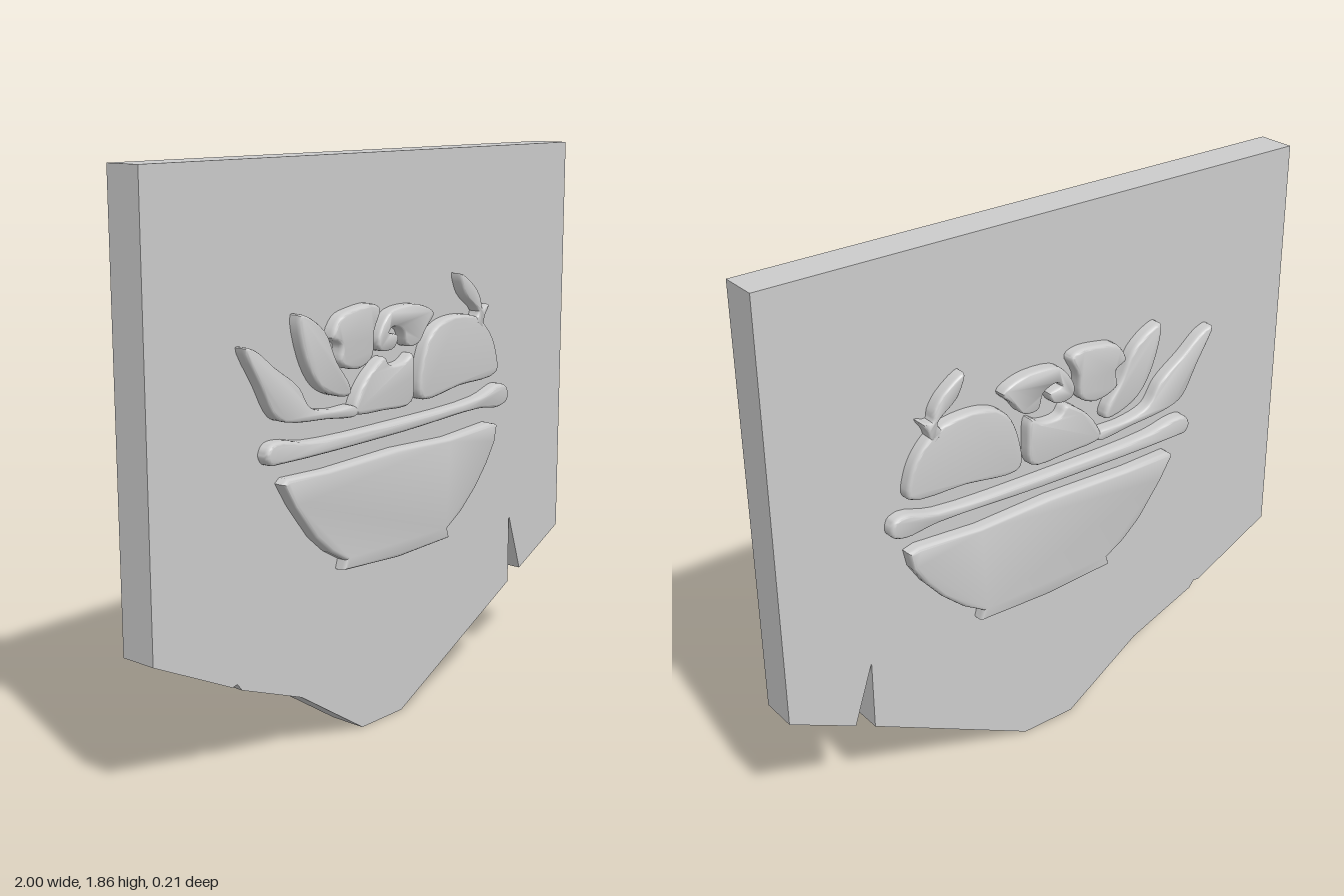
import * as THREE from 'three';
import { toCreasedNormals } from 'three/addons/utils/BufferGeometryUtils.js';

const SLAB_HALF = 0.063;
const RELIEF_HALF = 0.105;

const grey = new THREE.MeshStandardMaterial({ color: 0xcccccc });
const toPoints = (list) => list.map(([x, y]) => new THREE.Vector2(x, y));

// Rounds an outline with a closed curve through its points
function softOutline(list) {
  const curve = new THREE.CatmullRomCurve3(
    list.map(([x, y]) => new THREE.Vector3(x, y, 0)), true, 'centripetal');
  return curve.getPoints(list.length * 4).slice(0, -1).map((p) => new THREE.Vector2(p.x, p.y));
}

// Raised shape that stands out equally from both faces of the slab
function relief(name, list, soft = true, bevel = 0.01) {
  const shape = new THREE.Shape(soft ? softOutline(list) : toPoints(list));
  const thick = 0.016;
  const geometry = new THREE.ExtrudeGeometry(shape, {
    depth: 2 * (RELIEF_HALF - thick),
    bevelEnabled: true,
    bevelThickness: thick,
    bevelSize: bevel,
    bevelOffset: -bevel,
    bevelSegments: 3,
  });
  geometry.translate(0, 0, -(RELIEF_HALF - thick));
  const mesh = new THREE.Mesh(toCreasedNormals(geometry, 0.8), grey);
  mesh.name = name;
  return mesh;
}

export function createModel() {
  const model = new THREE.Group();
  model.name = 'bannerPlaque';

  // Banner slab with a pointed, notched lower edge
  const outline = [
    [-1, 1.86], [-1, 0.46], [-0.69, 0.31], [-0.67, 0.315], [-0.65, 0.29], [-0.39, 0.19],
    [-0.1, 0], [0.1, 0], [0.7, 0.31], [0.7, 0.555], [0.77, 0.345], [1, 0.46], [1, 1.86],
  ];
  const slabGeometry = new THREE.ExtrudeGeometry(new THREE.Shape(toPoints(outline)), {
    depth: 2 * SLAB_HALF, bevelEnabled: false,
  });
  slabGeometry.translate(0, 0, -SLAB_HALF);
  const slab = new THREE.Mesh(slabGeometry, grey);
  slab.name = 'bannerSlab';
  model.add(slab);

  // Bowl and its rim
  model.add(relief('bowl', [
    [-0.5, 0.9], [-0.48, 0.915], [-0.3, 0.91], [0.03, 0.92], [0.3, 0.91], [0.53, 0.925],
    [0.568, 0.915], [0.555, 0.855], [0.51, 0.785], [0.45, 0.715], [0.37, 0.645], [0.295, 0.6],
    [0.305, 0.565], [0.04, 0.557], [-0.23, 0.573], [-0.22, 0.605], [-0.29, 0.645],
    [-0.36, 0.705], [-0.45, 0.82],
  ], false, 0.012));
  model.add(relief('bowlRim', [
    [-0.57, 1.0], [-0.55, 1.03], [-0.5, 1.035], [-0.39, 1.015], [0.01, 1.01], [0.46, 1.025],
    [0.58, 1.055], [0.62, 1.04], [0.625, 0.995], [0.58, 0.975], [0.46, 0.985], [0.06, 0.97],
    [-0.5, 0.965], [-0.555, 0.97],
  ]));

  // Long curved fruits on the left
  model.add(relief('outerBanana', [
    [-0.655, 1.33], [-0.61, 1.32], [-0.53, 1.26], [-0.43, 1.19], [-0.38, 1.12], [-0.28, 1.095],
    [-0.17, 1.09], [-0.165, 1.062], [-0.31, 1.07], [-0.47, 1.085], [-0.53, 1.11], [-0.59, 1.21],
  ], true, 0.007));
  model.add(relief('innerBanana', [
    [-0.425, 1.4], [-0.39, 1.395], [-0.31, 1.34], [-0.26, 1.245], [-0.198, 1.16], [-0.2, 1.13],
    [-0.26, 1.135], [-0.34, 1.175], [-0.4, 1.27],
  ]));

  // Fruit pieces in the middle
  model.add(relief('centreFruit', [
    [-0.18, 1.068], [-0.18, 1.09], [-0.14, 1.155], [-0.09, 1.2], [-0.035, 1.228], [-0.01, 1.2],
    [0.06, 1.2], [0.103, 1.222], [0.113, 1.15], [0.1, 1.063], [-0.04, 1.056],
  ]));
  model.add(relief('fruitSlice', [
    [-0.28, 1.315], [-0.245, 1.375], [-0.175, 1.395], [-0.085, 1.4], [-0.055, 1.382],
    [-0.085, 1.315], [-0.095, 1.235], [-0.16, 1.205], [-0.245, 1.235], [-0.24, 1.29],
  ]));
  model.add(relief('curledSlice', [
    [-0.07, 1.28], [-0.035, 1.345], [0.005, 1.372], [0.14, 1.375], [0.21, 1.34], [0.17, 1.295],
    [0.13, 1.25], [0.075, 1.25], [0.055, 1.3], [0.005, 1.318], [-0.015, 1.303], [0.03, 1.288],
    [0.01, 1.25], [-0.055, 1.25],
  ], true, 0.005));

  // Apple with stem and leaf
  model.add(relief('apple', [
    [0.14, 1.08], [0.15, 1.18], [0.19, 1.265], [0.25, 1.305], [0.35, 1.318], [0.45, 1.3],
    [0.52, 1.24], [0.555, 1.17], [0.56, 1.1], [0.35, 1.08], [0.17, 1.06],
  ]));
  model.add(relief('stemAndLeaf', [
    [0.35, 1.455], [0.43, 1.405], [0.462, 1.36], [0.47, 1.33], [0.508, 1.338], [0.485, 1.3],
    [0.47, 1.26], [0.435, 1.29], [0.45, 1.32], [0.375, 1.385],
  ], true, 0.005));

  return model;
}
